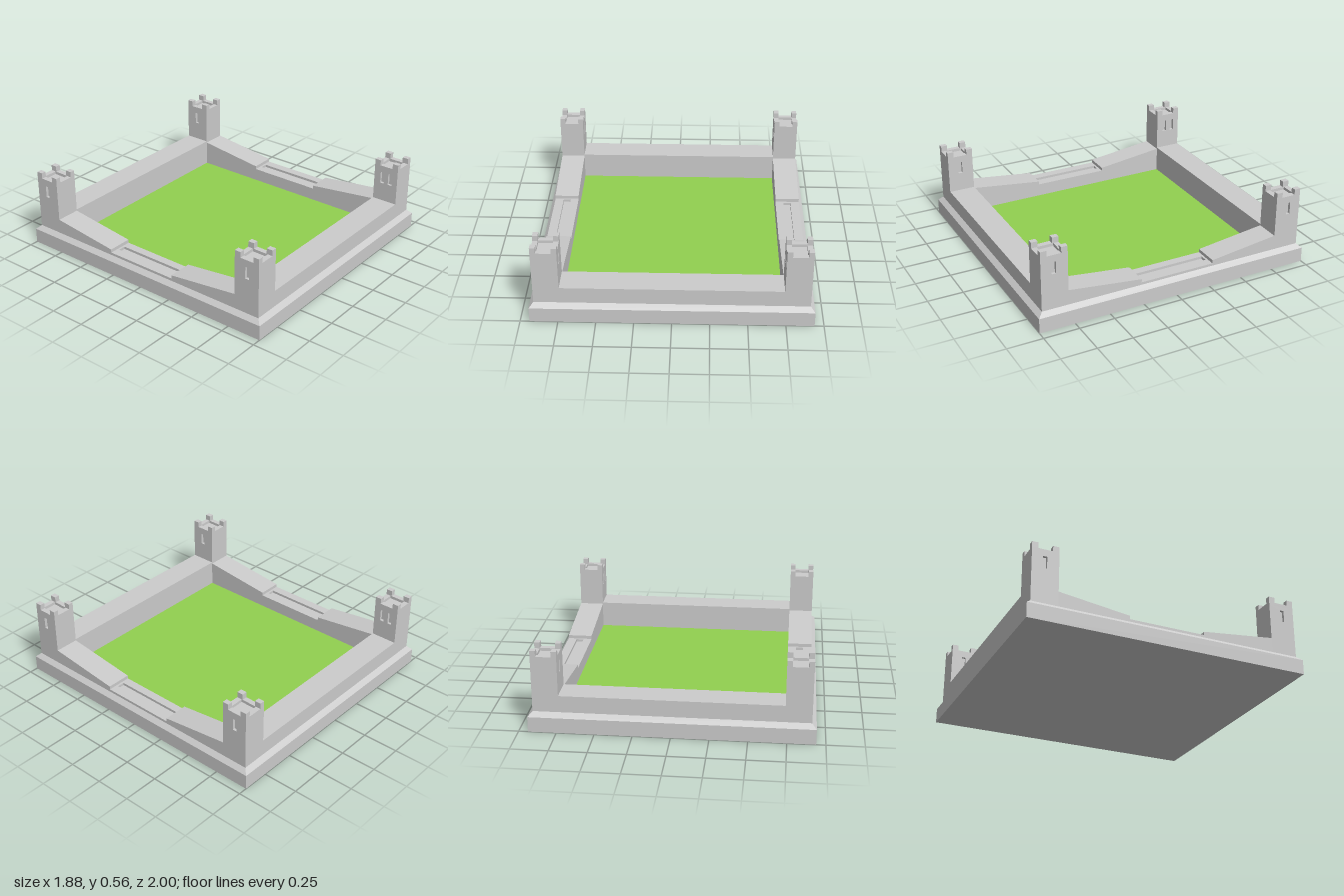
import * as THREE from 'three';

const stone = new THREE.MeshStandardMaterial({ color: 0xcccccc, flatShading: true });
const grass = new THREE.MeshStandardMaterial({ color: 0x92d050 });

// plan limits: wall ring inner and outer half sizes, and the key heights
const XI = 0.735, XO = 0.908, ZI = 0.78, ZO = 0.967;
const FLOOR = 0.06, LEDGE = 0.135, WALL = 0.25, DECK = 0.52, TOP = 0.56;

function add(parent, name, geometry, material = stone) {
  const mesh = new THREE.Mesh(geometry, material);
  mesh.name = name;
  parent.add(mesh);
  return mesh;
}

// box given by its two extreme corners
function boxGeo(x0, y0, z0, x1, y1, z1) {
  return new THREE.BoxGeometry(x1 - x0, y1 - y0, z1 - z0)
    .translate((x0 + x1) / 2, (y0 + y1) / 2, (z0 + z1) / 2);
}

function rectPoints(u0, v0, u1, v1) {
  return [[u0, v0], [u1, v0], [u1, v1], [u0, v1]].map(p => new THREE.Vector2(...p));
}

// rectangular plate with rectangular holes, thick along +z
function plate(rect, holes, depth) {
  const shape = new THREE.Shape(rectPoints(...rect));
  holes.forEach(h => shape.holes.push(new THREE.Path(rectPoints(...h))));
  return new THREE.ExtrudeGeometry(shape, { depth, bevelEnabled: false });
}

// turn a (z, y) drawing so its thickness runs from x0 to x0 + depth
const sideways = (geo, x0, depth) => geo.rotateY(-Math.PI / 2).translate(x0 + depth, 0, 0);

// chamfered tray swept through rectangular cross-sections
function plinthGeometry() {
  const rings = [[0.938, 1, 0], [0.938, 1, 0.105], [XO, ZO, LEDGE], [XI, ZI, LEDGE], [XI, ZI, FLOOR]];
  const pos = [], index = [];
  rings.forEach(([x, z, y]) => pos.push(-x, y, z, x, y, z, x, y, -z, -x, y, -z));
  for (let r = 0; r < rings.length - 1; r++) {
    for (let i = 0; i < 4; i++) {
      const a = r * 4 + i, b = r * 4 + (i + 1) % 4;
      index.push(a, b, b + 4, a, b + 4, a + 4);
    }
  }
  index.push(0, 3, 2, 0, 2, 1);
  const geo = new THREE.BufferGeometry();
  geo.setAttribute('position', new THREE.Float32BufferAttribute(pos, 3));
  geo.setIndex(index);
  const flat = geo.toNonIndexed();
  flat.computeVertexNormals();
  return flat;
}

// tower on the +x +z corner; innerSlits are the z centres of the slits facing the court
function tower(innerSlits) {
  const g = new THREE.Group();
  const skin = 0.02, rim = 0.036;
  const slit = z => [z - 0.015, 0.385, z + 0.015, 0.47];
  const face = [ZI, LEDGE, ZO, DECK - 0.02];
  add(g, 'towerCore', boxGeo(XI + skin, LEDGE, ZI, XO - skin, DECK - 0.02, ZO));
  add(g, 'outerTowerFace', sideways(plate(face, [slit(0.877)], skin), XO - skin, skin));
  add(g, 'innerTowerFace', sideways(plate(face, innerSlits.map(slit), skin), XI, skin));
  // low parapet around the sunken deck
  const parapet = plate([XI, -ZO, XO, -ZI],
    [[XI + rim, -ZO + rim, XO - rim, -ZI - rim]], 0.02);
  add(g, 'parapet', parapet.rotateX(-Math.PI / 2).translate(0, DECK - 0.02, 0));
  // corner merlons
  for (const x of [XI, XO - rim]) {
    for (const z of [ZI, ZO - rim - 0.008]) {
      add(g, 'merlon', boxGeo(x, DECK, z, x + rim, TOP, z + rim + 0.008));
    }
  }
  return g;
}

// side wall at +x: ramps fall from the towers to a low slotted middle
function sideWall(zBack, zFront) {
  const g = new THREE.Group();
  const low = 0.153, bed = LEDGE - 0.01;
  const profile = [[-ZI, bed - 0.03], [ZI, bed - 0.03], [ZI, 0.24], [zFront, 0.177], [zFront, bed],
    [zBack, bed], [zBack, 0.177], [-ZI, 0.24]].map(p => new THREE.Vector2(...p));
  const ramps = new THREE.ExtrudeGeometry(new THREE.Shape(profile),
    { depth: XO - XI, bevelEnabled: false });
  add(g, 'rampWall', sideways(ramps, XI, XO - XI));
  const slab = plate([XI, -zFront, XO, -zBack],
    [[0.793, -zFront + 0.016, 0.845, -zBack - 0.016]], low - bed);
  add(g, 'slottedSill', slab.rotateX(-Math.PI / 2).translate(0, bed, 0));
  return g;
}

export function createModel() {
  const model = new THREE.Group();
  model.name = 'castleTray';

  add(model, 'plinth', plinthGeometry());
  add(model, 'lawn', new THREE.PlaneGeometry(2 * XI, 2 * ZI)
    .rotateX(-Math.PI / 2).translate(0, FLOOR, 0), grass);

  // the two halves repeat by a half turn
  for (const [half, angle] of [['front', 0], ['back', Math.PI]]) {
    const group = new THREE.Group();
    group.name = half + 'Half';
    group.rotation.y = angle;
    add(group, half + 'Wall', boxGeo(-XI, LEDGE, ZI, XI, WALL, ZO));

    const twinSlitTower = tower([0.845, 0.908]);
    twinSlitTower.name = 'twinSlitTower';
    const singleSlitTower = tower([0.877]);
    singleSlitTower.name = 'singleSlitTower';
    singleSlitTower.rotation.y = Math.PI;
    singleSlitTower.scale.z = -1;

    const wall = angle ? sideWall(-0.255, 0.285) : sideWall(-0.285, 0.255);
    wall.name = 'sideWall';
    group.add(twinSlitTower, singleSlitTower, wall);
    model.add(group);
  }
  return model;
}
